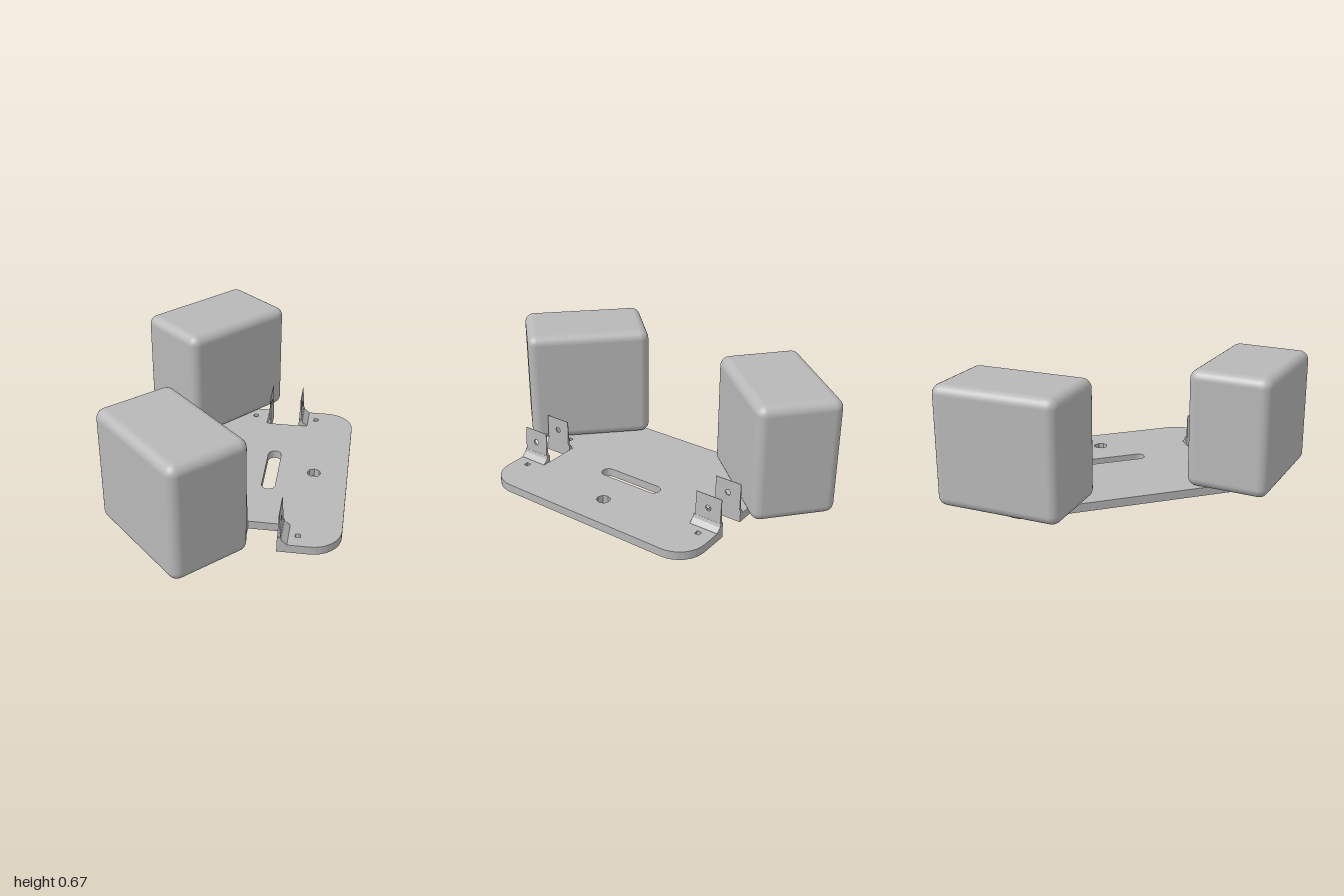
import * as THREE from 'three';
import { RoundedBoxGeometry } from 'three/addons/geometries/RoundedBoxGeometry.js';

const THICK = 0.045;

// points along a circular arc, angles in degrees
function arc(cx, cy, r, a0, a1, n = 8) {
  return Array.from({ length: n + 1 }, (_, i) => {
    const a = THREE.MathUtils.degToRad(a0 + ((a1 - a0) * i) / n);
    return new THREE.Vector2(cx + r * Math.cos(a), cy + r * Math.sin(a));
  });
}
const V = (list) => list.map(([x, y]) => new THREE.Vector2(x, y));
const square = (x, y, s) => V([[x - s, y - s], [x - s, y + s], [x + s, y + s], [x + s, y - s]]);

function plateGeometry() {
  // half outline, mirrored across z = 0
  const half = [
    ...arc(0.44, 0.49, 0.15, 0, 90),
    ...V([[0.33, 0.64], [0.33, 0.48], [0.095, 0.48], [0.095, 0.64], [-0.09, 0.64], [-0.11, 0.65], [-0.13, 0.69]]),
    ...arc(-0.23, 0.58, 0.12, 90, 180),
  ];
  const mirrored = half.map((p) => new THREE.Vector2(p.x, -p.y)).reverse();
  const shape = new THREE.Shape([...half, ...mirrored]);
  const holes = [
    [...arc(0.18, 0.15, 0.036, 0, 180), ...arc(0.18, -0.15, 0.036, 180, 360)],
    arc(0.41, 0, 0.037, 0, 315, 7),
  ];
  for (const s of [1, -1]) {
    holes.push(square(0.377, s * 0.56, 0.013), square(0.02, s * 0.56, 0.013));
  }
  shape.holes = holes.map((h) => new THREE.Path(h));
  const g = new THREE.ExtrudeGeometry(shape, { depth: THICK, bevelEnabled: false });
  return g.rotateX(Math.PI / 2).translate(0, THICK, 0);
}

// upright ear with a bolt hole; thickness tapers towards the top
function earGeometry(bottomX, topX, baseWidth) {
  const y0 = 0.04, y1 = 0.215;
  const shape = new THREE.Shape(V([[-0.073, y0], [0.073, y0], [0.073, y1], [-0.073, y1]]));
  shape.holes = [new THREE.Path(arc(0, 0.145, 0.017, 0, 300, 5))];
  const g = new THREE.ExtrudeGeometry(shape, { depth: 1, bevelEnabled: false });
  g.rotateY(Math.PI / 2);
  const p = g.attributes.position;
  for (let i = 0; i < p.count; i++) {
    const t = (p.getY(i) - y0) / (y1 - y0);
    const centre = THREE.MathUtils.lerp(bottomX, topX, t);
    const width = THREE.MathUtils.lerp(baseWidth, 0.003, t);
    p.setX(i, centre + (p.getX(i) - 0.5) * width);
  }
  g.computeVertexNormals();
  return g;
}

// flared foot joining an ear to the plate
function footGeometry(profile) {
  const g = new THREE.ExtrudeGeometry(new THREE.Shape(V(profile)), { depth: 0.16, bevelEnabled: false });
  return g.translate(0, 0, -0.08);
}

export function createModel() {
  const model = new THREE.Group();
  const grey = new THREE.MeshStandardMaterial({ color: 0xb8b8b8 });
  grey.name = 'plain grey';
  const add = (name, geometry, x = 0, y = 0, z = 0) => {
    const m = new THREE.Mesh(geometry, grey);
    m.name = name;
    m.position.set(x, y, z);
    model.add(m);
    return m;
  };

  add('basePlate', plateGeometry());

  // two rounded blocks standing at an angle on the plate
  const block = new RoundedBoxGeometry(0.67, 0.625, 0.434, 4, 0.05);
  add('frontBlock', block, -0.227, 0.361, 0.627).rotation.y = THREE.MathUtils.degToRad(-45);
  add('backBlock', block, -0.222, 0.361, -0.627).rotation.y = THREE.MathUtils.degToRad(48.8);

  // pairs of ears on both sides of each notch
  const outerEar = earGeometry(0.291, 0.289, 0.02);
  const innerEar = earGeometry(0.111, 0.113, 0.014);
  const outerFoot = footGeometry([[0.28, 0], [0.331, 0], [0.331, 0.046], [0.305, 0.068], [0.299, 0.085], [0.282, 0.085]]);
  const innerFoot = footGeometry([[0.094, 0], [0.119, 0], [0.117, 0.07], [0.107, 0.07], [0.094, 0.046]]);
  for (const [side, s] of [['front', 1], ['back', -1]]) {
    add(side + 'OuterEar', outerEar, 0, 0, s * 0.562);
    add(side + 'InnerEar', innerEar, 0, 0, s * 0.562);
    add(side + 'OuterFoot', outerFoot, 0, 0, s * 0.56);
    add(side + 'InnerFoot', innerFoot, 0, 0, s * 0.56);
  }
  return model;
}
